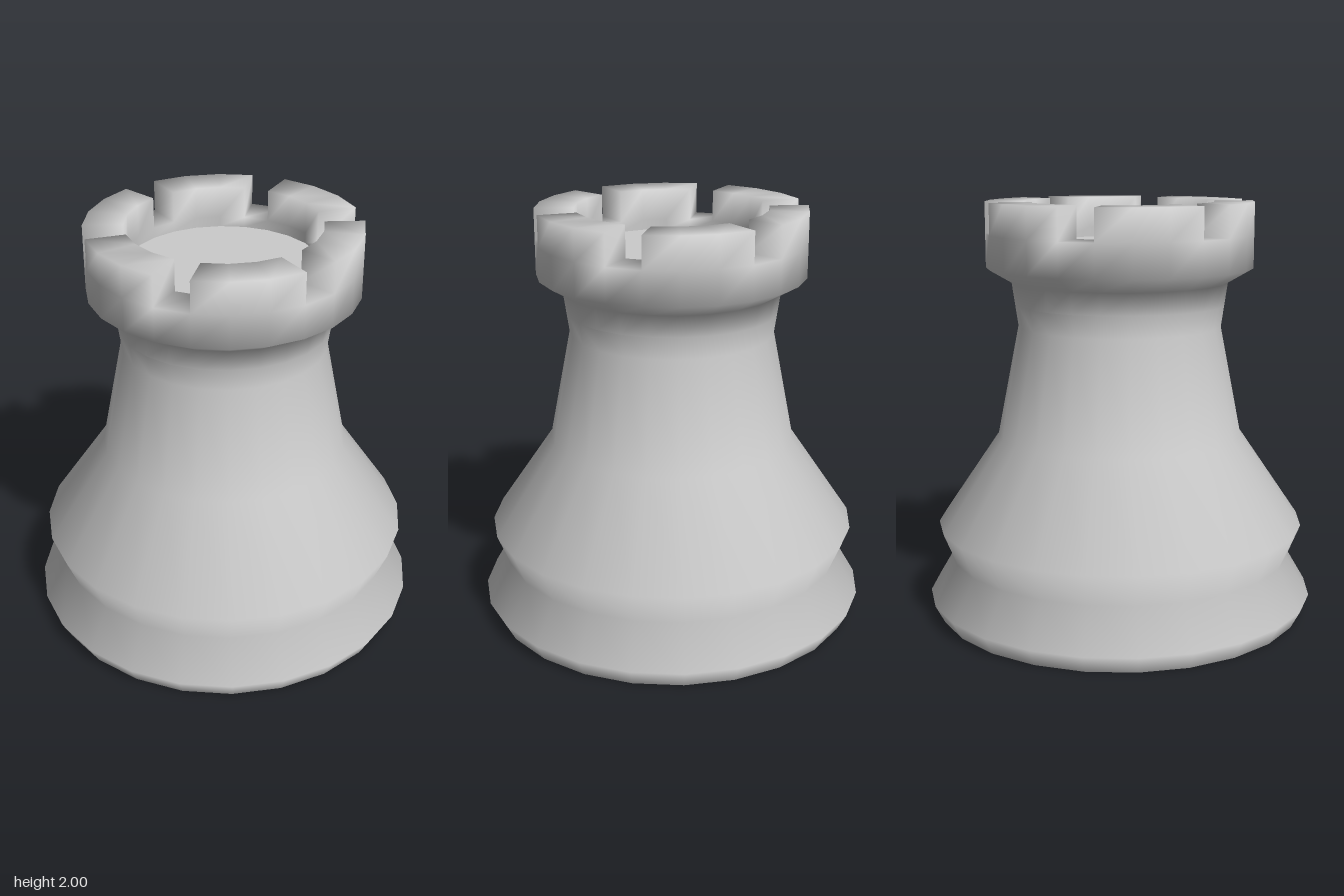
import * as THREE from 'three';
import { mergeVertices } from 'three/addons/utils/BufferGeometryUtils.js';

const SIDES = 24;
const STEP = (Math.PI * 2) / SIDES;

const material = new THREE.MeshStandardMaterial({ color: 0xcccccc });

function addPart(group, name, geometry) {
  const mesh = new THREE.Mesh(geometry, material);
  mesh.name = name;
  group.add(mesh);
  return mesh;
}

// Ring with a one-segment notch in every fourth segment, smooth all over
function crownGeometry() {
  const outer = [[0.505, 1.515], [0.52, 1.62], [0.64, 1.69], [0.64, 1.85]];
  const merlon = [[0.64, 2], [0.455, 2]];
  const inner = [[0.455, 1.85], [0.455, 1.8]];
  const positions = [];

  const point = ([r, y], i) => {
    const a = (i % SIDES) * STEP;
    return [r * Math.sin(a), y, r * Math.cos(a)];
  };
  const quad = (a, b, c, d) => positions.push(...a, ...b, ...c, ...a, ...c, ...d);

  for (let i = 0; i < SIDES; i++) {
    const notch = i % 4 === 3;
    const profile = notch ? [...outer, ...inner] : [...outer, ...merlon, ...inner];
    for (let k = 0; k < profile.length - 1; k++) {
      const low = profile[k], high = profile[k + 1];
      quad(point(low, i), point(low, i + 1), point(high, i + 1), point(high, i));
    }
    // Side walls of the notch
    if (notch) {
      const wall = [outer[3], inner[0], merlon[1], merlon[0]];
      quad(...wall.map((p) => point(p, i)));
      quad(...wall.map((p) => point(p, i + 1)).reverse());
    }
  }

  const raw = new THREE.BufferGeometry();
  raw.setAttribute('position', new THREE.Float32BufferAttribute(positions, 3));
  const geometry = mergeVertices(raw, 1e-4);
  geometry.computeVertexNormals();
  return geometry;
}

export function createModel() {
  const group = new THREE.Group();
  group.name = 'chessRook';

  // Turned foot, flared skirt and tapering column
  const profile = [
    [0.9, 0], [0.945, 0.085], [0.83, 0.28], [0.895, 0.44],
    [0.595, 0.88], [0.49, 1.41], [0.505, 1.515],
  ].map(([r, y]) => new THREE.Vector2(r, y));
  addPart(group, 'body', new THREE.LatheGeometry(profile, SIDES));

  // Flat underside
  addPart(group, 'underside', new THREE.CircleGeometry(0.9, SIDES).rotateX(Math.PI / 2));

  // Collar and battlements
  addPart(group, 'crown', crownGeometry());

  // Sunken floor inside the battlements
  addPart(group, 'crownFloor', new THREE.CircleGeometry(0.455, SIDES).rotateX(-Math.PI / 2))
    .position.y = 1.8;

  return group;
}
